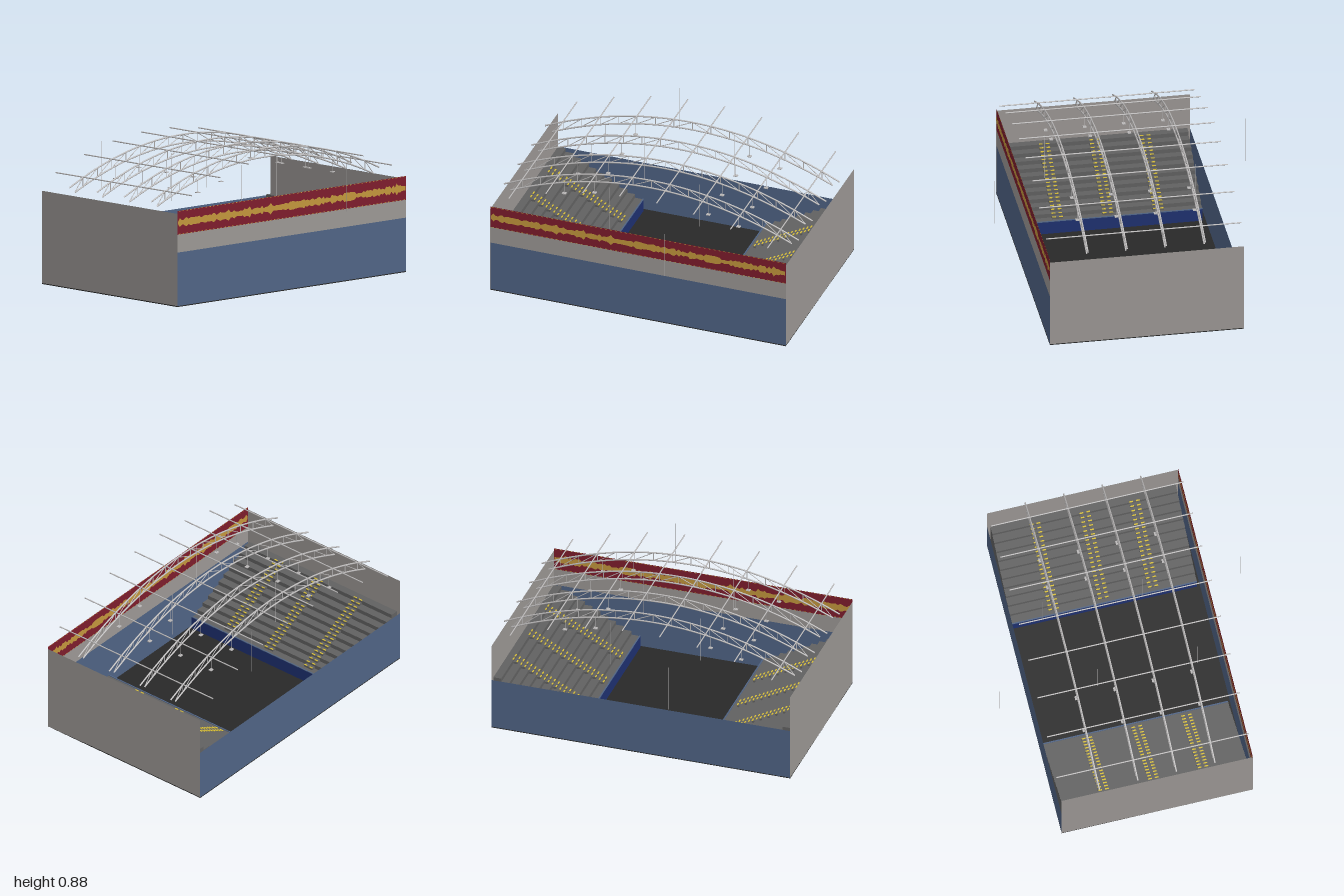
import * as THREE from 'three';

const mat = (name, color, side = THREE.FrontSide) => {
  const m = new THREE.MeshStandardMaterial({ color, side });
  m.name = name;
  return m;
};

export function createModel() {
  const D = THREE.DoubleSide;
  const M = {
    grey: mat('wallGrey', 0x9b9794, D),
    blue: mat('wallBlue', 0x4f6384, D),
    maroon: mat('bannerMaroon', 0x7d1c2c, D),
    gold: mat('bannerGold', 0xc2963c, D),
    floor: mat('floorDark', 0x282828),
    stand: mat('standGrey', 0x616161),
    navy: mat('standNavy', 0x1e3070),
    yellow: mat('stepYellow', 0xd8bf38),
    steel: mat('steel', 0xbab8b8),
  };
  const root = new THREE.Group();
  root.name = 'sportsHall';

  const add = (parent, name, geo, material, x = 0, y = 0, z = 0) => {
    const m = new THREE.Mesh(geo, material);
    m.name = name;
    m.position.set(x, y, z);
    parent.add(m);
    return m;
  };
  const box = (parent, name, material, w, h, d, x, y, z) =>
    add(parent, name, new THREE.BoxGeometry(w, h, d), material, x, y, z);
  // straight round bar between two points
  const bar = (parent, name, a, b, r) => {
    const m = add(parent, name, new THREE.CylinderGeometry(r, r, a.distanceTo(b), 16, 1, true), M.steel);
    m.position.copy(a).add(b).multiplyScalar(0.5);
    m.quaternion.setFromUnitVectors(new THREE.Vector3(0, 1, 0), b.clone().sub(a).normalize());
    return m;
  };
  const V = (x, y, z) => new THREE.Vector3(x, y, z);

  // floor and thin walls
  const HZ = 0.625, FZ = 0.624;
  box(root, 'floor', M.floor, 2, 0.006, 2 * HZ, 0, 0.003, 0);
  for (const s of [-1, 1])
    add(root, 'endWall', new THREE.PlaneGeometry(2 * HZ, 0.6), M.grey, s, 0.3, 0).rotation.y = (s * Math.PI) / 2;
  const panel = (name, material, y0, y1, z) =>
    add(root, name, new THREE.PlaneGeometry(2, y1 - y0), material, 0, (y0 + y1) / 2, z);
  panel('backWall', M.blue, 0, 0.35, -HZ).rotation.y = Math.PI;
  panel('frontWallLower', M.blue, 0, 0.35, FZ);
  panel('frontWallMiddle', M.grey, 0.35, 0.465, FZ);
  panel('frontBanner', M.maroon, 0.465, 0.618, FZ);

  // jagged gold band and dashed borders on both faces of the banner
  let seed = 7;
  const rnd = () => (seed = (seed * 16807) % 2147483647) / 2147483647;
  const N = 130, heights = [];
  for (let i = 0; i <= N; i++) heights.push(0.01 + 0.02 * rnd() + (i % 12 === 5 ? 0.008 : 0));
  const band = new THREE.Shape();
  band.moveTo(-0.995, 0.541 - heights[0]);
  for (let i = 1; i <= N; i++) band.lineTo(-0.995 + (1.99 * i) / N, 0.541 - heights[i]);
  for (let i = N; i >= 0; i--) band.lineTo(-0.995 + (1.99 * i) / N, 0.541 + heights[i]);
  const bandGeo = new THREE.ShapeGeometry(band);
  const dashGeo = new THREE.PlaneGeometry(0.014, 0.004);
  for (const s of [-1, 1]) {
    add(root, 'bannerBand', bandGeo, M.gold, 0, 0, FZ + s * 0.0015);
    for (let i = 0; i < 60; i++)
      for (const y of [0.468, 0.615])
        add(root, 'borderDash', dashGeo, M.gold, -0.983 + i / 30, y, FZ + s * 0.0015);
  }

  // stepped stand along the -x end, and its twin turned to face it
  const STEPS = 11, X0 = -0.42, X1 = -0.994, Y0 = 0.09, Y1 = 0.36;
  const run = (X0 - X1) / STEPS, rise = (Y1 - Y0) / (STEPS - 1);
  const makeStand = () => {
    const g = new THREE.Group();
    g.name = 'stand';
    const p = new THREE.Shape();
    p.moveTo(X1, 0.006);
    p.lineTo(X0, 0.006);
    for (let i = 0; i < STEPS; i++) {
      p.lineTo(X0 - i * run, Y0 + i * rise);
      p.lineTo(X0 - (i + 1) * run, Y0 + i * rise);
    }
    p.closePath();
    add(g, 'tiers', new THREE.ExtrudeGeometry(p, { depth: 1.21, bevelEnabled: false }), M.stand, 0, 0, -0.605);
    box(g, 'standFront', M.navy, 0.006, Y0 - 0.006, 1.21, X0 + 0.003, Y0 / 2 + 0.003, 0);
    box(g, 'standFrontCap', M.blue, 0.008, 0.004, 1.21, X0 + 0.003, Y0 + 0.002, 0);
    // aisles with half steps and yellow nosings
    for (const z of [-0.325, 0, 0.325]) {
      for (let i = 0; i < STEPS - 1; i++) {
        const x = X0 - (i + 1) * run, y = Y0 + i * rise;
        box(g, 'aisleStep', M.stand, run / 2, rise / 2, 0.07, x + run / 4, y + rise / 4, z);
        for (const s of [-1, 1]) {
          box(g, 'stepNosing', M.yellow, 0.008, 0.004, 0.024, x + run / 2 - 0.003, y + rise / 2 + 0.001, z + s * 0.022);
          box(g, 'tierNosing', M.yellow, 0.008, 0.004, 0.024, x - 0.003, y + rise + 0.001, z + s * 0.022);
        }
      }
    }
    return g;
  };
  const standA = makeStand(), standB = makeStand();
  standB.rotation.y = Math.PI;
  root.add(standA, standB);

  // arched roof trusses
  const top = (x) => 0.88 - 0.235 * x * x;
  const low = (x) => 0.825 - 0.237 * x * x;
  const chord = (f, end, z) => {
    const pts = [];
    for (let i = 0; i <= 16; i++) {
      const x = -end + (2 * end * i) / 16;
      pts.push(V(x, f(x), z));
    }
    return new THREE.TubeGeometry(new THREE.CatmullRomCurve3(pts), 48, 0.005, 16, false);
  };
  for (const z of [-0.378, -0.126, 0.126, 0.378]) {
    const truss = new THREE.Group();
    truss.name = 'roofTruss';
    root.add(truss);
    add(truss, 'topChord', chord(top, 0.997, z), M.steel);
    add(truss, 'bottomChord', chord(low, 0.95, z), M.steel);
    for (const s of [-1, 1]) {
      for (let k = 0; k <= 7; k++) {
        const x = 0.125 * k;
        if (k || s > 0) bar(truss, 'post', V(s * x, low(x), z), V(s * x, top(x), z), 0.0025);
        const xo = Math.min(x + 0.125, 0.95);
        bar(truss, 'diagonal', V(s * xo, low(xo), z), V(s * x, top(x), z), 0.0025);
      }
      // hanging lamps
      for (const x of [0.385, 0.59]) {
        bar(truss, 'lampRod', V(s * x, low(x), z), V(s * x, low(x) - 0.08, z), 0.0015);
        box(truss, 'lamp', M.steel, 0.026, 0.005, 0.022, s * x, low(x) - 0.08, z);
      }
    }
  }

  // purlins running across the trusses
  for (const x of [0.125, 0.375, 0.625, 0.875])
    for (const s of [-1, 1]) bar(root, 'purlin', V(s * x, top(x) + 0.003, -0.63), V(s * x, top(x) + 0.003, 0.63), 0.004);

  // thin hanging wires
  for (const z of [-0.853, -0.21, 0.44]) {
    bar(root, 'wire', V(-0.262, 0.5, z), V(-0.262, 0.81, z), 0.0013);
    bar(root, 'wire', V(0.262, 0.5, -z), V(0.262, 0.81, -z), 0.0013);
  }
  return root;
}
